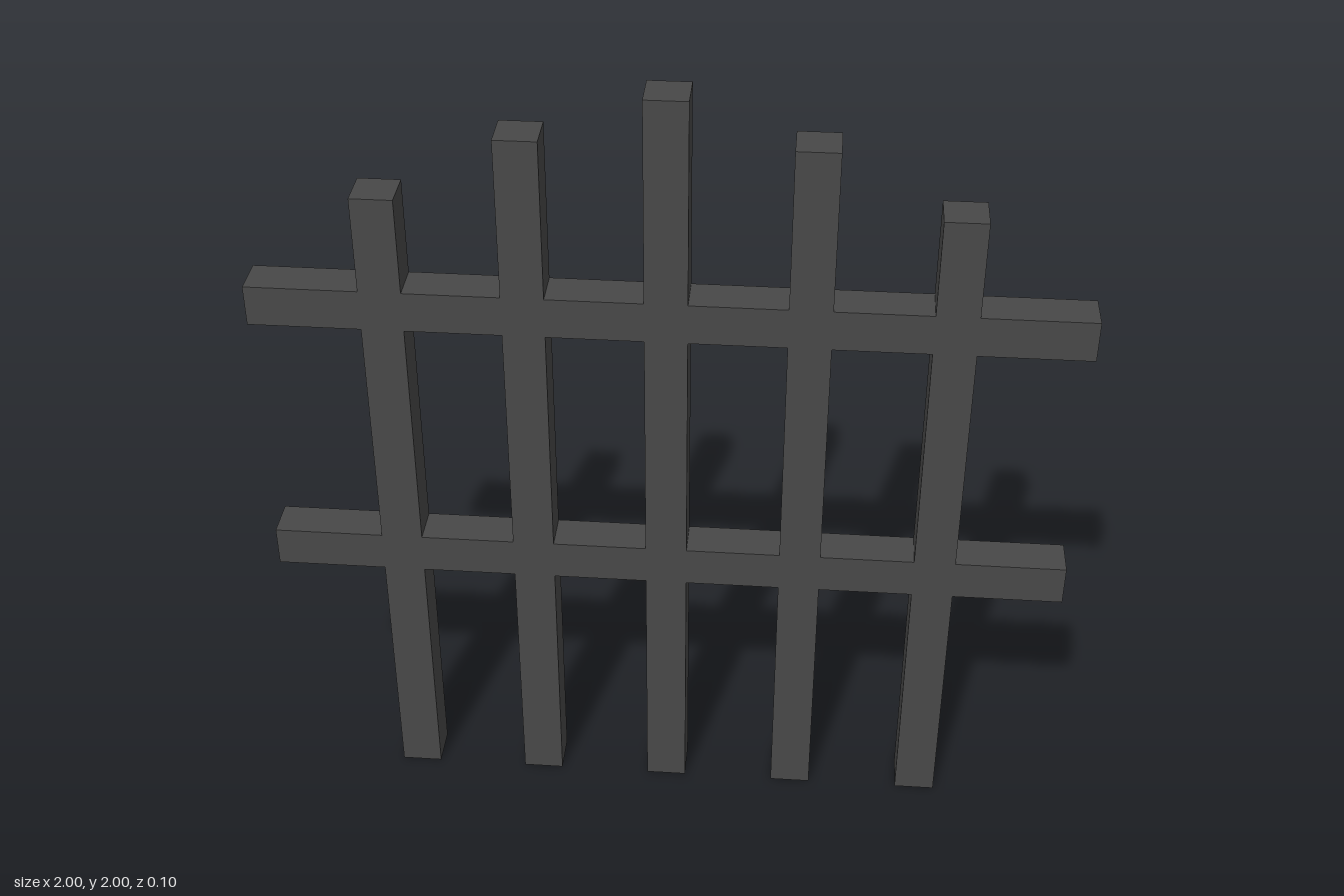
import * as THREE from 'three';

export function createModel() {
  const model = new THREE.Group();
  model.name = 'fence';

  const iron = new THREE.MeshStandardMaterial({ color: 0x484848 });
  iron.name = 'dark iron';

  const T = 0.103; // square bar thickness

  function bar(name, width, height, x, y) {
    const mesh = new THREE.Mesh(new THREE.BoxGeometry(width, height, T), iron);
    mesh.name = name;
    mesh.position.set(x, y, 0);
    model.add(mesh);
  }

  // Upright posts, stepping down from the centre to both sides
  const spacing = 0.337;
  const heights = [2, 1.89, 1.73];
  for (let i = -2; i <= 2; i++) {
    const h = heights[Math.abs(i)];
    bar('post' + (i + 3), T, h, i * spacing, h / 2);
  }

  // Horizontal rails passing through the posts
  bar('lowerRail', 2, T, 0, 0.718);
  bar('upperRail', 2, T, 0, 1.434);

  return model;
}
